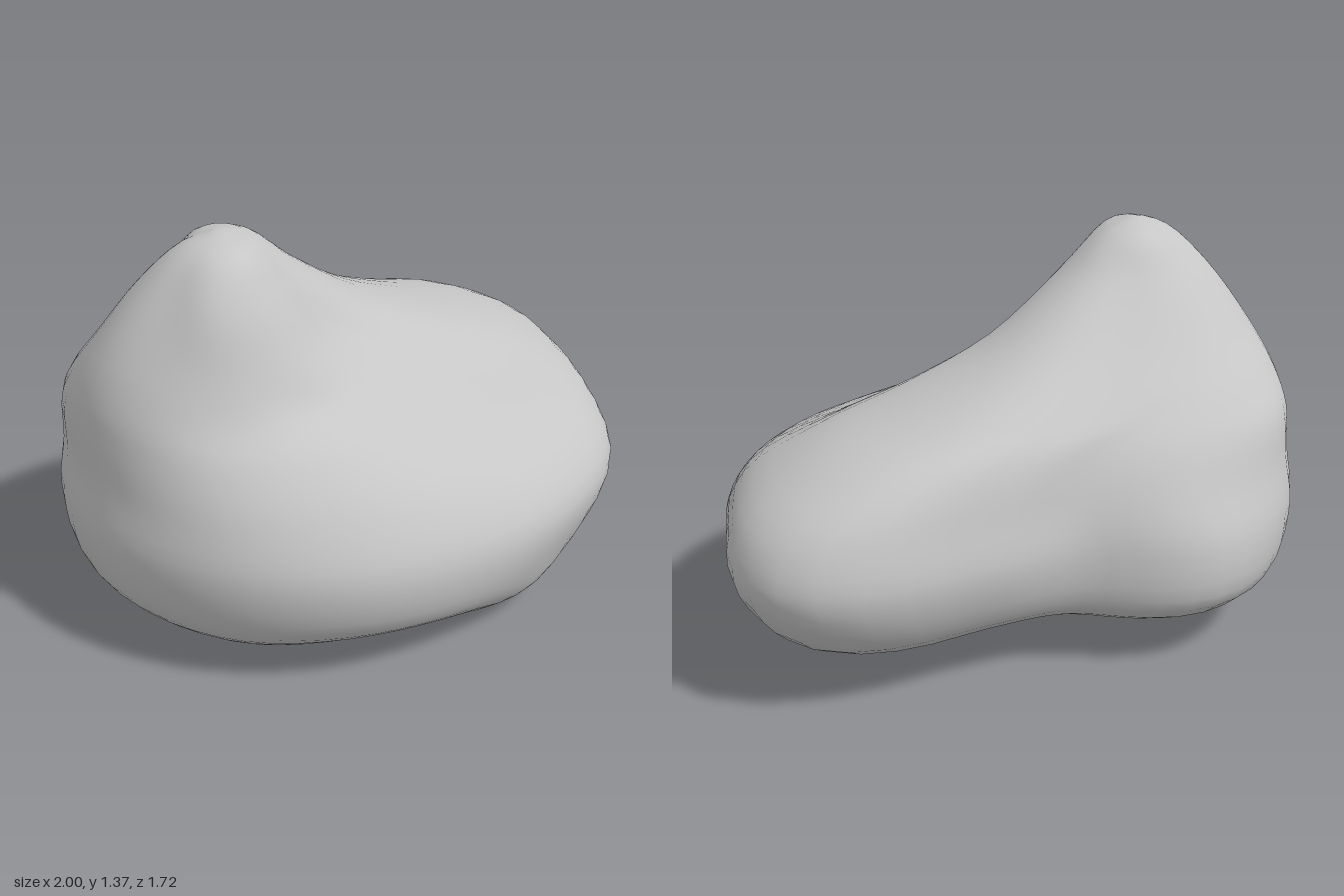
import * as THREE from 'three';
import { mergeVertices } from 'three/addons/utils/BufferGeometryUtils.js';

const stoneGrey = new THREE.MeshStandardMaterial({ color: 0xc6c6c6 });
stoneGrey.name = 'stone grey';

const AROUND = 60;
const UP = 44;

// One level of the stone: height, centre, and 12 radii every 30 degrees
// starting 15 degrees from +x and turning towards +z.
const level = (y, cx, cz, radii) => ({ y, cx, cz, radii });

const levels = [
  level(0.01, 0, 0.15, [0.55, 0.45, 0.33, 0.33, 0.46, 0.55, 0.52, 0.42, 0.27, 0.3, 0.45, 0.55]),
  level(0.1, 0, 0.05, [0.75, 0.72, 0.64, 0.66, 0.76, 0.82, 0.78, 0.63, 0.43, 0.49, 0.72, 0.8]),
  level(0.22, 0, 0, [0.9, 0.82, 0.8, 0.84, 0.91, 0.96, 0.94, 0.85, 0.59, 0.67, 1.02, 0.93]),
  level(0.42, 0, 0, [0.97, 0.86, 0.83, 0.88, 0.955, 1.0, 0.985, 0.87, 0.635, 0.77, 1.16, 1.03]),
  level(0.6, 0, 0, [0.84, 0.73, 0.73, 0.8, 0.92, 0.97, 0.96, 0.79, 0.605, 0.735, 1.1, 0.97]),
  level(0.75, -0.1, 0, [0.59, 0.52, 0.57, 0.68, 0.81, 0.87, 0.85, 0.67, 0.54, 0.645, 0.94, 0.83]),
  level(0.86, -0.3, 0.05, [0.48, 0.43, 0.45, 0.53, 0.61, 0.65, 0.63, 0.54, 0.48, 0.54, 0.78, 0.73]),
  level(1.0, -0.42, 0.12, [0.35, 0.34, 0.36, 0.39, 0.42, 0.46, 0.44, 0.4, 0.39, 0.44, 0.59, 0.52]),
  level(1.2, -0.47, 0.16, [0.24, 0.24, 0.26, 0.27, 0.25, 0.26, 0.25, 0.23, 0.25, 0.28, 0.33, 0.3]),
  level(1.33, -0.46, 0.17, [0.12, 0.13, 0.16, 0.16, 0.14, 0.13, 0.12, 0.11, 0.15, 0.17, 0.16, 0.13]),
];
const bottom = new THREE.Vector3(0, 0.01, 0.15);
const peak = new THREE.Vector3(-0.46, 1.372, 0.17);

// Smooth periodic interpolation of the radii
function radiusAt(radii, turn) {
  const n = radii.length;
  const f = turn * n;
  const i = Math.floor(f);
  const t = f - i;
  const [a, b, c, d] = [-1, 0, 1, 2].map((k) => radii[(i + k + n) % n]);
  return b + 0.5 * t * (c - a + t * (2 * a - 5 * b + 4 * c - d + t * (3 * (b - c) + d - a)));
}

// Shallow hollow across the middle of the underside
const hollow = (p) => 0.03 * Math.exp(-12 * p.x * p.x) * Math.max(0, 1 - 4 * p.y);

// Loft the levels along meridians running from the underside to the peak
function stoneGeometry() {
  const positions = [];
  const index = [];
  for (let i = 0; i < AROUND; i++) {
    const turn = i / AROUND;
    const angle = turn * Math.PI * 2 + Math.PI / 12;
    const path = levels.map(({ y, cx, cz, radii }) => {
      const r = radiusAt(radii, turn);
      return new THREE.Vector3(cx + r * Math.cos(angle), y, cz + r * Math.sin(angle));
    });
    const meridian = new THREE.CatmullRomCurve3([bottom, ...path, peak]);
    for (let j = 0; j <= UP; j++) {
      const p = meridian.getPoint(j / UP);
      positions.push(p.x, Math.max(0, p.y) + hollow(p), p.z);
    }
  }
  const at = (i, j) => (i % AROUND) * (UP + 1) + j;
  for (let i = 0; i < AROUND; i++) {
    for (let j = 0; j < UP; j++) {
      const a = at(i, j), b = at(i, j + 1), c = at(i + 1, j + 1), d = at(i + 1, j);
      if (j < UP - 1) index.push(a, b, c);
      if (j > 0) index.push(a, c, d);
    }
  }
  const geometry = new THREE.BufferGeometry();
  geometry.setAttribute('position', new THREE.Float32BufferAttribute(positions, 3));
  geometry.setIndex(index);
  const welded = mergeVertices(geometry, 1e-5);
  welded.computeVertexNormals();
  return welded;
}

export function createModel() {
  const group = new THREE.Group();
  group.name = 'rock';
  const stone = new THREE.Mesh(stoneGeometry(), stoneGrey);
  stone.name = 'stone';
  group.add(stone);
  return group;
}
